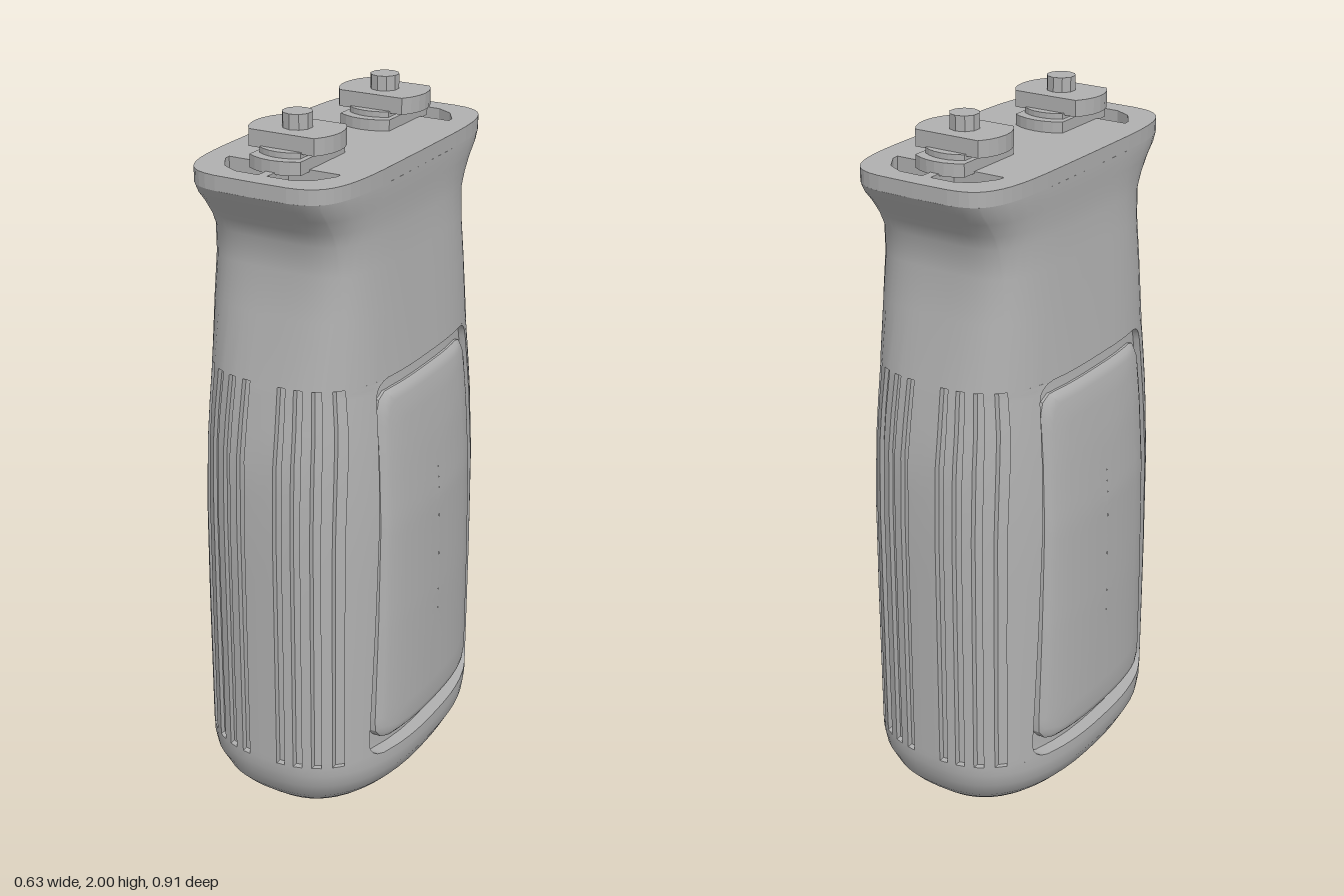
import * as THREE from 'three';
import { toCreasedNormals } from 'three/addons/utils/BufferGeometryUtils.js';

// Handle profile: height, half width, half depth, squareness
const PROFILE = [
  [0, 0.235, 0.37, 2.5], [0.025, 0.262, 0.398, 2.5], [0.05, 0.285, 0.42, 2.5], [0.1, 0.312, 0.444, 2.5],
  [0.14, 0.317, 0.453, 2.5], [0.17, 0.317, 0.455, 2.5], [0.6, 0.317, 0.455, 2.5], [0.9, 0.313, 0.455, 2.5],
  [1.1, 0.298, 0.447, 2.6], [1.3, 0.273, 0.415, 3], [1.5, 0.252, 0.378, 3.8], [1.62, 0.24, 0.36, 4.3],
  [1.7, 0.232, 0.365, 4.6], [1.74, 0.232, 0.385, 4.7], [1.78, 0.233, 0.415, 4.8], [1.81, 0.235, 0.44, 5],
  [1.835, 0.235, 0.455, 5],
];
const LOW = 0.17, HIGH = 1.32; // extent of the grooves and side recesses

function profileAt(y) {
  let i = 0;
  while (i < PROFILE.length - 2 && PROFILE[i + 1][0] < y) i++;
  const p = PROFILE[i], q = PROFILE[i + 1];
  const t = (y - p[0]) / (q[0] - p[0]);
  return [1, 2, 3].map((k) => p[k] + (q[k] - p[k]) * t);
}
const curve = (v, extent, other, n) => other * Math.pow(Math.max(0, 1 - Math.pow(Math.abs(v) / extent, n)), 1 / n);
const sideX = (y, z) => {
  const [a, b, n] = profileAt(y);
  return curve(z, b, a, n);
};
const recessDepth = (y) => 0.04 - 0.02 * (y - LOW) / (HIGH - LOW);

// Half length of the side recess, rounded at its corners
function recessHalf(y, b) {
  const r = 0.05, d = Math.min(y - LOW, HIGH - y);
  const end = y < 0.7 ? 0.257 : 0.207;
  if (d < 0) return Math.min(end, 0.55 * b);
  const k = Math.max(0, r - d);
  return 0.307 - 0.05 * (y - LOW) / (HIGH - LOW) - (r - Math.sqrt(r * r - k * k));
}

// Horizontal section: one quarter from side to front, then mirrored
function section(y, [a, b, n], detailed) {
  const q = [];
  const zr = detailed ? recessHalf(y, b) : Math.min(0.2, 0.55 * b);
  const depth = detailed ? recessDepth(y) : 0;
  for (const f of [0, 0.25, 0.5, 0.75, 1]) q.push([curve(f * zr, b, a, n) - depth, f * zr]);
  const scale = Math.min(1, a / 0.29);
  const t0 = Math.asin(Math.pow(zr / b, n / 2));
  const t1 = Math.acos(Math.pow(0.225 * scale / a, n / 2));
  for (let i = 0; i <= 4; i++) {
    const t = t0 + (t1 - t0) * i / 4;
    q.push([a * Math.pow(Math.cos(t), 2 / n), b * Math.pow(Math.sin(t), 2 / n)]);
  }
  for (const g of [0.22, 0.17, 0.12, 0.07]) {
    const x0 = g * scale, x1 = (g - 0.025) * scale, cut = detailed ? 0.018 : 0;
    const z0 = curve(x0, a, b, n), z1 = curve(x1, a, b, n);
    q.push([x0, z0], [x0, z0 - cut], [x1, z1 - cut], [x1, z1]);
  }
  q.push([0, b]);
  const r = [...q].reverse();
  const ring = [...q, ...r.map(([x, z]) => [-x, z]), ...q.map(([x, z]) => [-x, -z]), ...r.map(([x, z]) => [x, -z])];
  return ring.map(([x, z]) => new THREE.Vector3(x, y, z));
}

// Skin a list of closed rings, leaving out collapsed triangles
function skin(rings, crease) {
  const pos = [], ab = new THREE.Vector3(), ac = new THREE.Vector3();
  const tri = (a, b, c) => {
    if (ab.subVectors(b, a).cross(ac.subVectors(c, a)).length() < 1e-9) return;
    for (const p of [a, b, c]) pos.push(p.x, p.y, p.z);
  };
  for (let i = 0; i < rings.length - 1; i++) {
    const n = rings[i].length;
    for (let j = 0; j < n; j++) {
      const k = (j + 1) % n, [lo, hi] = [rings[i], rings[i + 1]];
      tri(lo[j], hi[j], lo[k]);
      tri(lo[k], hi[j], hi[k]);
    }
  }
  const g = new THREE.BufferGeometry();
  g.setAttribute('position', new THREE.Float32BufferAttribute(pos, 3));
  return toCreasedNormals(g, crease);
}

function bodyGeometry() {
  const rings = [];
  // hollow inside, from its ceiling down to the bottom rim
  for (const [y, a, b] of [[1.7, 0.001, 0.001], [1.7, 0.2, 0.33], [1.4, 0.21, 0.34], [0.05, 0.225, 0.36]])
    rings.push(section(y, [a, b, 2.5], false));
  // outside, with doubled rings where grooves and recesses end
  const extra = [LOW, 0.175, 0.185, 0.2, 0.22, 0.4, 0.75, 1.0, 1.2, 1.27, 1.29, 1.305, 1.315, HIGH];
  const ys = [...new Set([...PROFILE.map((p) => p[0]), ...extra])].sort((p, q) => p - q);
  for (const y of ys) {
    const plain = section(y, profileAt(y), false), cut = y >= LOW && y <= HIGH;
    if (!cut) rings.push(section(y, profileAt(y), false));
    else {
      const full = section(y, profileAt(y), true);
      if (y === LOW) rings.push(plain, flush(y), full);
      else if (y === HIGH) rings.push(full, flush(y), plain);
      else rings.push(full);
    }
  }
  rings.push(section(1.835, [0.001, 0.001, 5], false));
  return skin(rings, 0.55);
}

// Section with the recess outline but no depth, closing a recess end
function flush(y) {
  const [a, b, n] = profileAt(y);
  return section(y, [a, b, n], true).map((p) => {
    const onSide = Math.abs(p.z) <= recessHalf(y, b) + 1e-6;
    return onSide
      ? new THREE.Vector3(Math.sign(p.x) * curve(p.z, b, a, n), y, p.z)
      : new THREE.Vector3(p.x, y, Math.sign(p.z) * curve(p.x, a, b, n));
  });
}

// Bulged side panel with a rounded, tapering outline
function panelGeometry() {
  const w = 0.275, h = 0.535, r = 0.05, mid = 0.745;
  const s = new THREE.Shape();
  s.absarc(w - r, h - r, r, 0, Math.PI / 2);
  s.absarc(r - w, h - r, r, Math.PI / 2, Math.PI);
  s.absarc(r - w, r - h, r, Math.PI, Math.PI * 1.5);
  s.absarc(w - r, r - h, r, Math.PI * 1.5, Math.PI * 2);
  s.closePath();
  const outline = s.getSpacedPoints(96);
  const ring = (inset, drop) => outline.map((p) => {
    const y = mid + p.y * (1 - inset / h);
    const z = p.x * (1 - inset / w) * (1 - 0.055 * (1 + p.y / h));
    return new THREE.Vector3(sideX(y, z) - drop, y, z);
  });
  return skin([ring(0, 0.045), ring(0, 0.014), ring(0.012, 0.004), ring(0.03, 0),
    ring(0.09, 0), ring(0.16, 0), ring(0.22, 0), ring(0.2749, 0)], 0.5);
}

// Extrude an outline lying in the ground plane upward from y
function slab(points, y, height, holes = []) {
  const shape = new THREE.Shape(points);
  shape.holes = holes.map((h) => new THREE.Path(h));
  const g = new THREE.ExtrudeGeometry(shape, { depth: height, bevelEnabled: false });
  return g.rotateX(-Math.PI / 2).translate(0, y, 0);
}

// Disc with two straight sides at x = +-cut
function clippedDisc(r, cut) {
  const t0 = Math.acos(cut / r), pts = [];
  for (const base of [0, Math.PI])
    for (let i = 0; i <= 6; i++) {
      const t = base + t0 + (Math.PI - 2 * t0) * i / 6;
      pts.push(new THREE.Vector2(r * Math.cos(t), r * Math.sin(t)));
    }
  return pts;
}

export function createModel() {
  const model = new THREE.Group();
  const grey = new THREE.MeshStandardMaterial({ color: 0xb0b0b0 });
  grey.name = 'grey';
  const add = (name, geometry, parent = model) => {
    const m = new THREE.Mesh(geometry, grey);
    m.name = name;
    parent.add(m);
    return m;
  };

  add('gripBody', bodyGeometry());
  const panel = panelGeometry();
  add('leftPanel', panel);
  add('rightPanel', panel).rotation.y = Math.PI;

  // Top plate with four quarter pockets
  const edge = [];
  for (let i = 0; i < 48; i++) {
    const t = i * Math.PI / 24, c = Math.cos(t), s = Math.sin(t);
    edge.push(new THREE.Vector2(0.235 * Math.sign(c) * Math.abs(c) ** 0.4, 0.455 * Math.sign(s) * Math.abs(s) ** 0.4));
  }
  const pocket = [[0.013, 0.295], [0.165, 0.295], [0.163, 0.315], [0.13, 0.368], [0.083, 0.394], [0.013, 0.395]];
  const holes = [];
  for (const sx of [-1, 1])
    for (const sz of [-1, 1]) holes.push(pocket.map(([x, z]) => new THREE.Vector2(x * sx, z * sz)));
  add('topPlate', slab(edge, 1.835, 0.04, holes));

  // Two mounting clamps
  for (const side of [1, -1]) {
    const clamp = new THREE.Group();
    clamp.name = side > 0 ? 'frontClamp' : 'backClamp';
    clamp.position.z = 0.228 * side;
    add('clampBase', slab(clippedDisc(0.133, 0.075), 1.87, 0.035), clamp);
    add('clampNeck', slab(clippedDisc(0.105, 0.06), 1.9, 0.02), clamp);
    add('clampBar', slab(clippedDisc(0.125, 0.08), 1.915, 0.045), clamp).rotation.y = Math.PI / 2;
    const stem = new THREE.CylinderGeometry(0.04, 0.04, 0.06, 10).translate(0, 1.97, 0);
    add('clampStem', toCreasedNormals(stem, 0.5), clamp);
    model.add(clamp);
  }
  return model;
}
